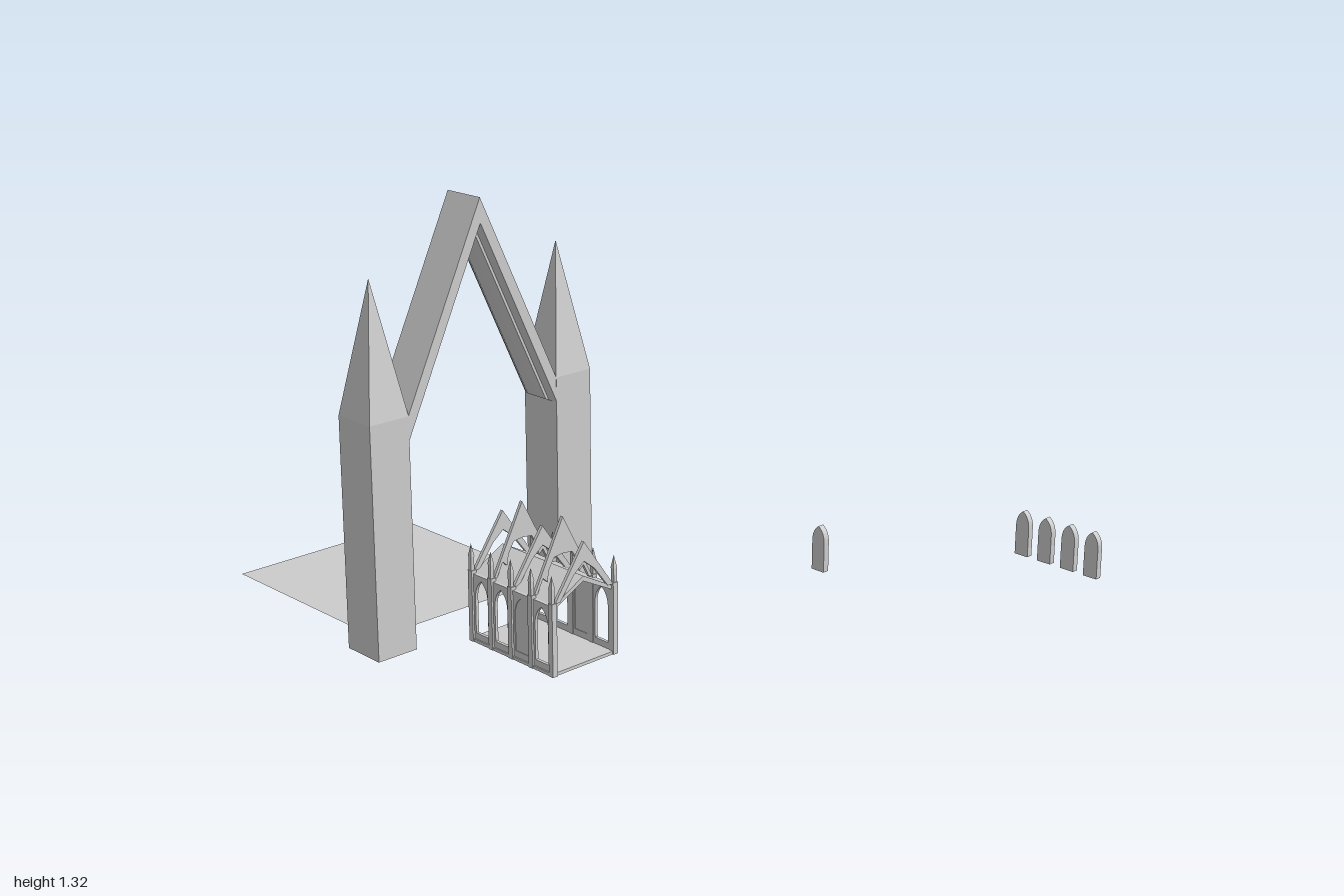
import * as THREE from 'three';

const mat = new THREE.MeshStandardMaterial({ color: 0xcccccc, flatShading: true, side: THREE.DoubleSide });

function add(parent, geo, name, x = 0, y = 0, z = 0) {
  const m = new THREE.Mesh(geo, mat);
  m.name = name;
  m.position.set(x, y, z);
  parent.add(m);
  return m;
}

const box = (w, h, d) => new THREE.BoxGeometry(w, h, d).translate(0, h / 2, 0);

// Four-sided spire standing on y = 0
const spire = (w, h, d) => new THREE.ConeGeometry(Math.SQRT1_2, 1, 4, 1)
  .rotateY(Math.PI / 4).translate(0, 0.5, 0).scale(w, h, d);

// Extrusion centred on its own depth
function slab(shape, depth) {
  return new THREE.ExtrudeGeometry(shape, { depth, bevelEnabled: false, curveSegments: 6 })
    .translate(0, 0, -depth / 2);
}

// Pointed-arch outline from y0 to y1
function lancet(path, w, y0, y1) {
  const h = w / 2, spring = y1 - w * 1.05;
  path.moveTo(-h, y0);
  path.lineTo(h, y0);
  path.lineTo(h, spring);
  path.quadraticCurveTo(h, y1 - w * 0.35, 0, y1);
  path.quadraticCurveTo(-h, y1 - w * 0.35, -h, spring);
  path.closePath();
  return path;
}

// Mirrored outline: right half given from the outer foot over the top to the inner foot
function mirroredBand(outer, inner) {
  const flip = pts => pts.map(([x, y]) => [-x, y]).reverse();
  const pts = [...outer, ...flip(outer).slice(1), ...flip(inner), ...[...inner].slice(0, -1).reverse()];
  // inner runs from apex side to foot, so flipping it walks foot -> apex on the left
  const clean = [...outer, ...flip(outer).slice(1), ...flip(inner), ...inner.slice(1)];
  return new THREE.Shape((clean.length ? clean : pts).map(p => new THREE.Vector2(...p)));
}

// Gable moulding: a stepped section swept over the two slopes
function gableGeometry() {
  const slope = 2.12, apex = 1.315, half = 0.283;
  const front = [[0, 0.073], [0.075, 0.073], [0.09, 0.045], [0.11, 0.045], [0.14, 0.018]];
  const section = [...front, ...front.map(([t, z]) => [t, -z]).reverse()];
  const n = section.length, pos = [];
  const point = (i, s) => {
    const [t, z] = section[(i + n) % n];
    const x = s * (half - Math.max(0, t - 0.075) * 0.6);
    return [x, apex - t - slope * Math.abs(x), z];
  };
  for (const s of [-1, 1]) {
    const tri = (a, b, c) => pos.push(...a, ...(s > 0 ? [...b, ...c] : [...c, ...b]));
    for (let i = 0; i < n; i++) {
      const a = point(i, 0), b = point(i + 1, 0), c = point(i + 1, s), d = point(i, s);
      tri(a, b, c);
      tri(a, c, d);
    }
    // End caps, strip by strip across the section
    for (let i = 0; i < n / 2 - 1; i++) {
      const a = point(i, s), b = point(i + 1, s), c = point(n - 2 - i, s), d = point(n - 1 - i, s);
      tri(a, b, c);
      tri(a, c, d);
    }
  }
  const g = new THREE.BufferGeometry();
  g.setAttribute('position', new THREE.Float32BufferAttribute(pos, 3));
  g.computeVertexNormals();
  return g;
}

function createGateway() {
  const g = new THREE.Group();
  g.name = 'gateway';
  for (const s of [-1, 1]) {
    add(g, box(0.138, 0.72, 0.147), 'tower', s * 0.349);
    add(g, spire(0.138, 0.403, 0.147), 'towerSpire', s * 0.349, 0.72);
  }
  add(g, gableGeometry(), 'gable');
  g.position.set(-0.562, 0, -0.212);
  return g;
}

function createChapel() {
  const g = new THREE.Group();
  g.name = 'chapel';
  const frameZ = i => 0.179 - i * 0.0895;
  add(g, box(0.25, 0.01, 0.368), 'floor');

  // Low roof
  const roof = mirroredBand([[0.117, 0.212], [0, 0.276]], [[0, 0.26], [0.117, 0.2]]);
  add(g, slab(roof, 0.36), 'roof');

  // Two alternating gable frames
  const tall = mirroredBand([[0.112, 0.222], [0, 0.434]],
    [[0, 0.322], [0.035, 0.318], [0.055, 0.285], [0.062, 0.25], [0.078, 0.265], [0.1, 0.222]]);
  const low = mirroredBand([[0.112, 0.222], [0, 0.382]], [[0, 0.322], [0.04, 0.29], [0.092, 0.222]]);
  for (let i = 0; i < 5; i++) {
    add(g, slab(i % 2 ? tall : low, 0.01), 'gableFrame', 0, 0, frameZ(i));
    for (const s of [-1, 1]) {
      add(g, box(0.018, 0.225, 0.018), 'buttress', s * 0.118, 0, frameZ(i));
      add(g, box(0.012, 0.045, 0.012), 'pinnacle', s * 0.12, 0.225, frameZ(i));
      add(g, spire(0.014, 0.04, 0.014), 'pinnacleTip', s * 0.12, 0.268, frameZ(i));
    }
  }

  // Side walls with pointed openings; the second bay is closed by a panel
  const bay = new THREE.Shape([[-0.045, 0], [0.045, 0], [0.045, 0.215], [-0.045, 0.215]]
    .map(p => new THREE.Vector2(...p)));
  bay.holes.push(lancet(new THREE.Path(), 0.056, 0.03, 0.2));
  for (const s of [-1, 1]) {
    for (let i = 0; i < 4; i++) {
      const z = (frameZ(i) + frameZ(i + 1)) / 2;
      add(g, slab(bay, 0.01).rotateY(Math.PI / 2), 'sideWall', s * 0.116, 0, z);
      if (i === 1) {
        add(g, slab(lancet(new THREE.Shape(), 0.056, 0.03, 0.2), 0.006).rotateY(Math.PI / 2),
          'bayPanel', s * 0.116, 0, z);
      }
    }
  }
  g.position.set(-0.56, 0, 0.105);
  return g;
}

export function createModel() {
  const model = new THREE.Group();
  model.name = 'gothicBuildingKit';

  // Ground sheet behind the gateway
  add(model, new THREE.PlaneGeometry(0.68, 0.715).rotateX(-Math.PI / 2), 'ground', -0.54, 0.001, -0.6425);

  model.add(createGateway(), createChapel());

  // Loose lancet window blocks
  const pane = slab(lancet(new THREE.Shape(), 0.05, 0.05, 0.2), 0.022).rotateY(Math.PI / 2);
  for (const [x, z] of [[0.392, 0.345], [0.964, 0.71], [0.964, 0.798], [0.964, 0.887], [0.964, 0.975]]) {
    add(model, pane, 'windowBlock', x, 0, z);
  }
  return model;
}
